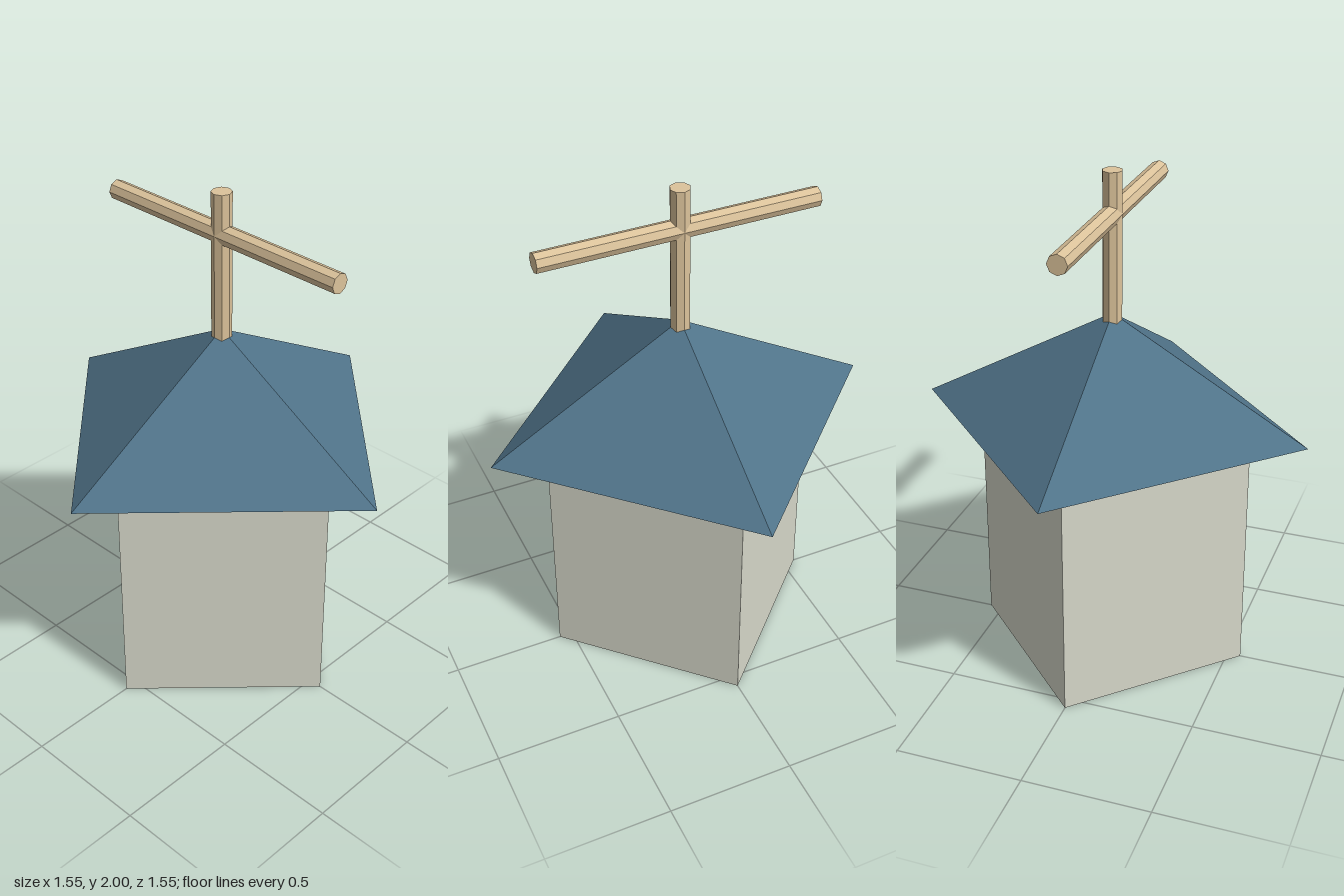
import * as THREE from 'three';

export function createModel() {
  const model = new THREE.Group();
  model.name = 'cupola';

  const makeMaterial = (name, color) => {
    const m = new THREE.MeshStandardMaterial({ color, flatShading: true });
    m.name = name;
    return m;
  };
  const stone = makeMaterial('pale stone', 0xd8d9cb);
  const slate = makeMaterial('blue slate', 0x507389);
  const wood = makeMaterial('tan wood', 0xdcc39b);

  const add = (name, geometry, material, y) => {
    const mesh = new THREE.Mesh(geometry, material);
    mesh.name = name;
    mesh.position.y = y;
    model.add(mesh);
    return mesh;
  };

  // Square tower turned so its corners lie on the axes
  add('tower', new THREE.CylinderGeometry(0.555, 0.555, 1, 4), stone, 0.5);

  // Overhanging pyramid roof with a closed underside
  add('roof', new THREE.ConeGeometry(0.777, 0.444, 4), slate, 1.222);

  // Eight-sided pole, sunk a little into the roof peak
  const rodRadius = 0.039;
  const poleBottom = 1.38;
  add('pole', new THREE.CylinderGeometry(rodRadius, rodRadius, 2 - poleBottom, 8), wood, (2 + poleBottom) / 2);

  // Crossbar running left to right
  const bar = add('crossbar', new THREE.CylinderGeometry(rodRadius, rodRadius, 1.11, 8), wood, 1.836);
  bar.rotation.z = Math.PI / 2;

  return model;
}
